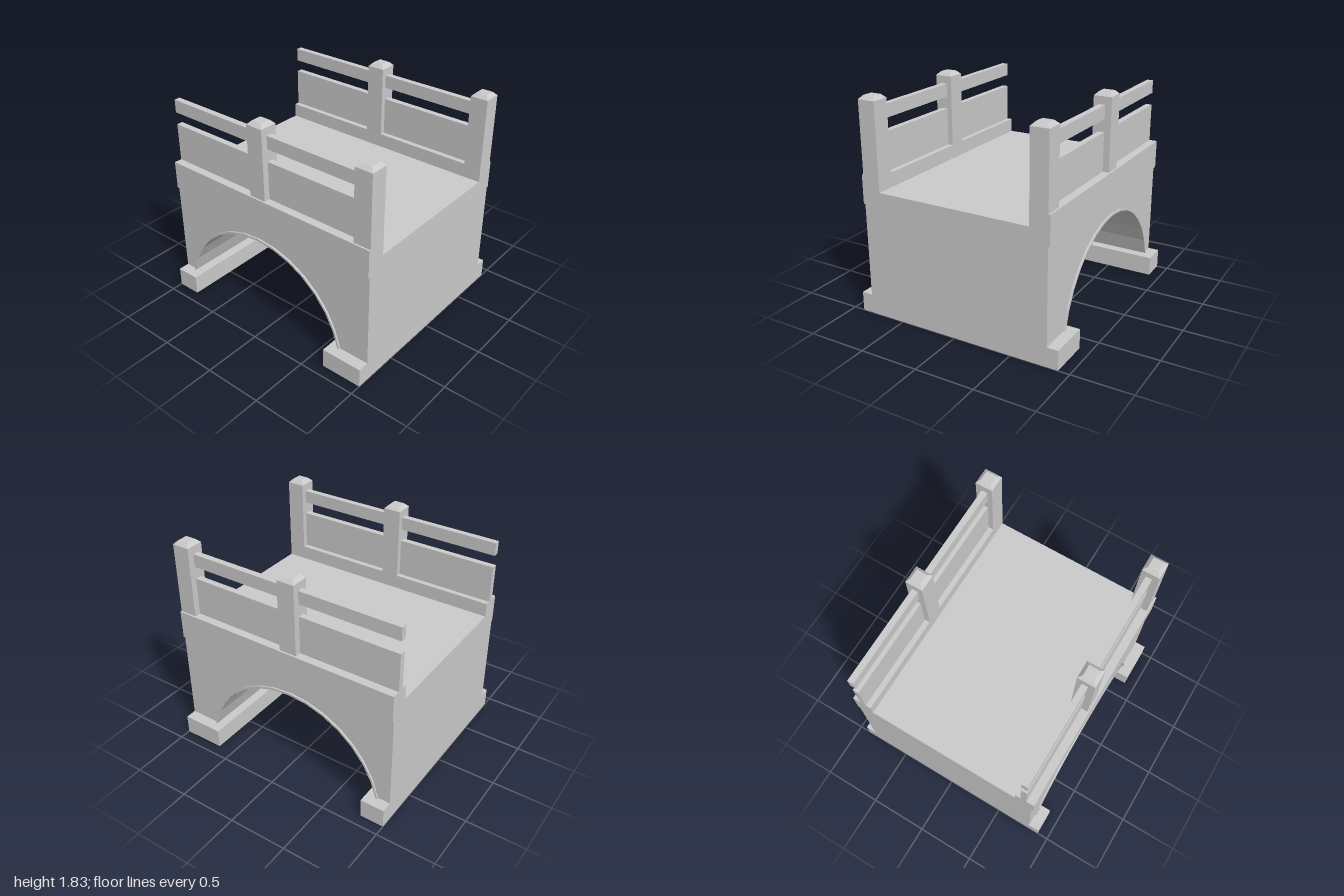
import * as THREE from 'three';

const mat = new THREE.MeshStandardMaterial({ color: 0xcccccc, flatShading: true });
const FOOT = 0.165, DECK = 1.08, KERB = 1.2, ARCH_Z = -0.078, ARCH_R = 0.815;

function add(group, name, geometry) {
  const mesh = new THREE.Mesh(geometry, mat);
  mesh.name = name;
  group.add(mesh);
  return mesh;
}

// Box from its lower and upper limits along each axis
function box(group, name, [x0, x1], [y0, y1], [z0, z1]) {
  add(group, name, new THREE.BoxGeometry(x1 - x0, y1 - y0, z1 - z0))
    .position.set((x0 + x1) / 2, (y0 + y1) / 2, (z0 + z1) / 2);
}

// Sixteen-sided half circle, cut off at the footings, from back to front
function archPoints(r) {
  const pts = [];
  for (let i = 1; i < 16; i++) {
    const a = Math.PI * (1 - i / 16);
    pts.push(new THREE.Vector2(ARCH_Z + r * Math.cos(a), Math.max(FOOT, r * Math.sin(a))));
  }
  return pts;
}

// Side profile (z, y) extruded across the bridge between x0 and x1
function acrossBridge(points, x0, x1) {
  const g = new THREE.ExtrudeGeometry(new THREE.Shape(points), { depth: x1 - x0, bevelEnabled: false });
  return g.rotateY(-Math.PI / 2).translate(x1, 0, 0);
}

// Square post with a bevelled top
function post(group, x, z) {
  const g = new THREE.Group();
  g.name = 'railingPost';
  const w = 0.15, h = 1.8 - DECK;
  add(g, 'postShaft', new THREE.BoxGeometry(w, h, w)).position.y = DECK + h / 2;
  const cap = new THREE.CylinderGeometry(0.045 * Math.SQRT2, (w / 2) * Math.SQRT2, 0.03, 4);
  add(g, 'postCap', cap.rotateY(Math.PI / 4)).position.y = 1.815;
  g.position.set(x, 0, z);
  group.add(g);
}

export function createModel() {
  const model = new THREE.Group();
  model.name = 'archBridge';

  // Footings
  box(model, 'frontFooting', [-0.905, 0.905], [0, FOOT], [0.645, 1]);
  box(model, 'backFooting', [-0.905, 0.905], [0, FOOT], [-1, -0.795]);

  // Body with the arched opening and the deck on top
  const v = (z, y) => new THREE.Vector2(z, y);
  const profile = [v(-1, FOOT), ...archPoints(ARCH_R), v(1, FOOT), v(1, DECK), v(-1, DECK)];
  add(model, 'bridgeBody', acrossBridge(profile, -0.81, 0.81));

  for (const s of [-1, 1]) {
    const side = new THREE.Group();
    side.name = s > 0 ? 'leftSide' : 'rightSide';
    model.add(side);
    const span = (a, b) => (s > 0 ? [a, b] : [-b, -a]);

    // Raised trim around the arch
    const trim = [...archPoints(ARCH_R), ...archPoints(0.833).reverse()];
    add(side, 'archTrim', acrossBridge(trim, ...span(0.805, 0.825)));

    // Kerb and the outer band below it
    box(side, 'kerb', span(0.66, 0.825), [DECK, KERB], [-1, 1]);
    box(side, 'outerBand', span(0.8, 0.825), [0.96, DECK], [-1, 1]);

    // Railing: two posts, two bays of panel and top rail
    for (const z of [0.925, -0.073]) post(side, s * 0.735, z);
    for (const bay of [[0.002, 0.85], [-1, -0.148]]) {
      box(side, 'railingPanel', span(0.705, 0.757), [KERB, 1.52], bay);
      box(side, 'topRail', span(0.705, 0.757), [1.625, 1.735], bay);
    }
  }
  return model;
}
